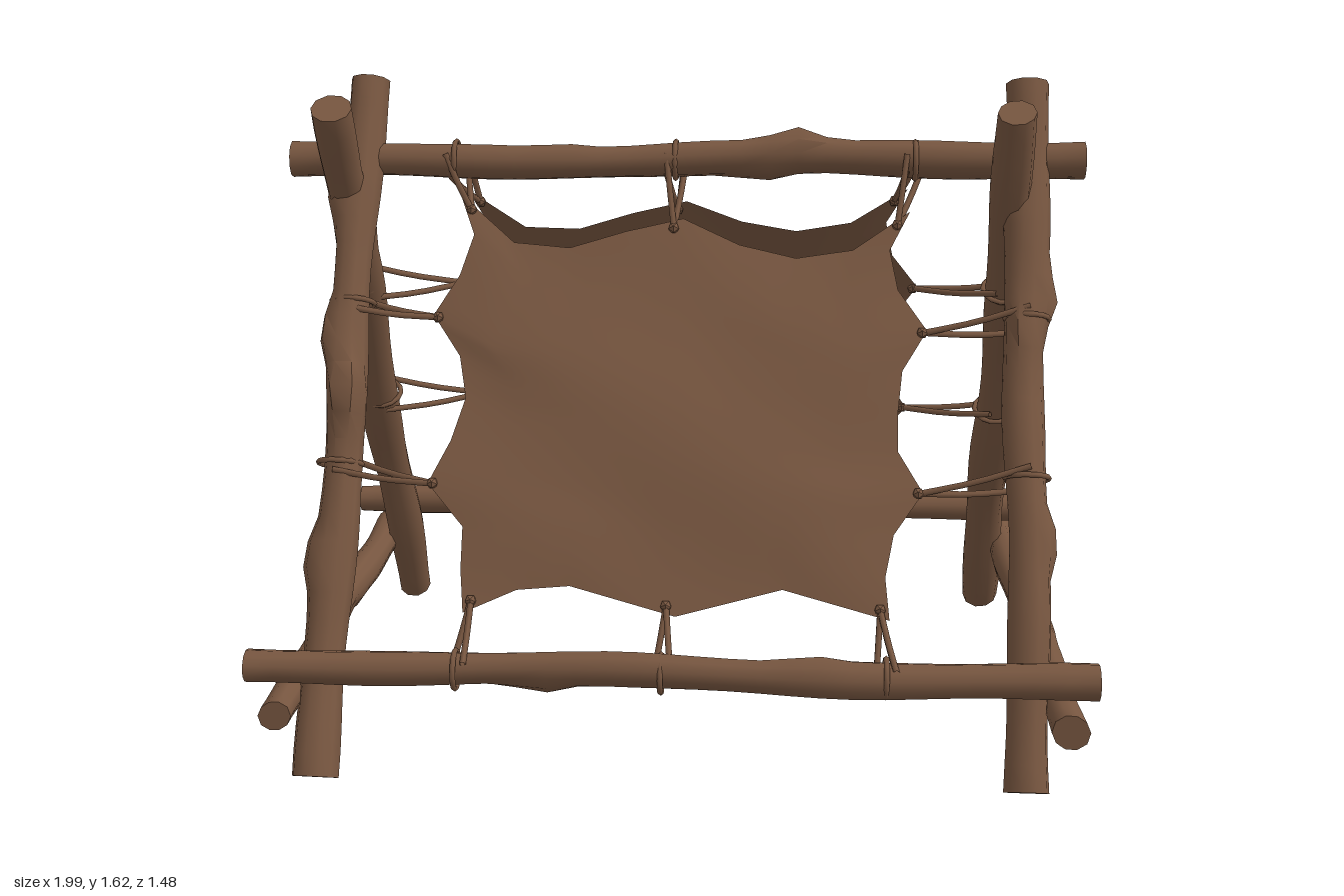
import * as THREE from 'three';
import { toCreasedNormals } from 'three/addons/utils/BufferGeometryUtils.js';

const brown = new THREE.MeshStandardMaterial({ color: 0x775640, side: THREE.DoubleSide });
brown.name = 'weathered brown';
const V = (x, y, z) => new THREE.Vector3(x, y, z);

function makeMesh(geometry, name, parent) {
  const mesh = new THREE.Mesh(geometry, brown);
  mesh.name = name;
  parent.add(mesh);
  return mesh;
}

// Crooked log from a to b; knots are [position along, angle, height]
function logGeometry(a, b, r0, r1, seed, knots = []) {
  const rings = 28, sides = 10, pos = [], index = [];
  const d = b.clone().sub(a), length = d.length();
  d.normalize();
  const ref = Math.abs(d.z) > 0.9 ? V(0, 1, 0) : V(0, 0, 1);
  const u = ref.cross(d).normalize(), v = d.clone().cross(u);
  for (let i = 0; i <= rings; i++) {
    const t = i / rings, bend = 0.009 * Math.sin(Math.PI * t);
    const c = a.clone().lerp(b, t)
      .addScaledVector(u, bend * Math.sin(t * 9 + seed))
      .addScaledVector(v, bend * Math.cos(t * 7 + seed * 2));
    for (let j = 0; j < sides; j++) {
      const ang = j / sides * Math.PI * 2;
      let r = (r0 + (r1 - r0) * t) * (1 + 0.06 * Math.sin(t * 23 + seed) + 0.05 * Math.sin(ang * 2 + t * 6 + seed));
      for (const [kt, ka, h] of knots) {
        const near = Math.max(0, 1 - Math.abs(t - kt) * length / 0.1);
        r += h * near * Math.max(0, Math.cos(ang - ka)) ** 3;
      }
      const p = c.clone().addScaledVector(u, r * Math.cos(ang)).addScaledVector(v, r * Math.sin(ang));
      pos.push(p.x, p.y, p.z);
      const k = i * sides + j, n = i * sides + (j + 1) % sides;
      if (i < rings) index.push(k, n, k + sides, n, n + sides, k + sides);
    }
  }
  // end caps
  const first = pos.length / 3, last = rings * sides;
  pos.push(a.x, a.y, a.z, b.x, b.y, b.z);
  for (let j = 0; j < sides; j++) {
    const n = (j + 1) % sides;
    index.push(first, n, j, first + 1, last + j, last + n);
  }
  const g = new THREE.BufferGeometry();
  g.setAttribute('position', new THREE.Float32BufferAttribute(pos, 3));
  g.setIndex(index);
  return toCreasedNormals(g, 0.95);
}

// Linear reading of evenly spaced samples
function sample(list, t) {
  const f = t * (list.length - 1), i = Math.min(Math.floor(f), list.length - 2);
  return list[i] + (list[i + 1] - list[i]) * (f - i);
}

// Scalloped outline of a stretched hide
const topEdge = [1.33, 1.22, 1.21, 1.25, 1.28, 1.22, 1.19, 1.21, 1.30];
const bottomEdge = [0.41, 0.46, 0.47, 0.44, 0.41, 0.44, 0.47, 0.44, 0.41];
const leftEdge = [-0.5, -0.51, -0.51, -0.6, -0.55, -0.52, -0.54, -0.61, -0.55, -0.52, -0.56];
const rightEdge = [0.51, 0.5, 0.52, 0.59, 0.53, 0.53, 0.54, 0.6, 0.53, 0.51, 0.56];

function hidePoint(u, v, side) {
  const x = THREE.MathUtils.lerp(sample(leftEdge, v), sample(rightEdge, v), u);
  const y = THREE.MathUtils.lerp(sample(bottomEdge, u), sample(topEdge, u), v);
  const swell = Math.sin(Math.PI * u) * Math.sin(Math.PI * v);
  const ripple = 0.01 * Math.sin(u * 9 + v * 4) * Math.sin(v * 7);
  if (side > 0) return V(x, y, 0.07 + (1.3 - y) * 0.55 + 0.03 * swell + ripple);
  // the back hide is a little longer on its left and billows more
  const skewed = y + 0.015 * v + 0.08 * (u - 0.5) * (v - 0.5);
  return V(x, skewed, -0.08 - (1.3 - skewed) * 0.53 - 0.075 * swell - ripple);
}

function hideGeometry(side) {
  const nu = 32, nv = 30, pos = [], index = [];
  for (let i = 0; i <= nv; i++) {
    for (let j = 0; j <= nu; j++) {
      const p = hidePoint(j / nu, i / nv, side);
      pos.push(p.x, p.y, p.z);
      if (i === nv || j === nu) continue;
      const a = i * (nu + 1) + j, b = a + 1, c = a + nu + 1, d = c + 1;
      if (side > 0) index.push(a, b, c, b, d, c);
      else index.push(a, c, b, b, c, d);
    }
  }
  const g = new THREE.BufferGeometry();
  g.setAttribute('position', new THREE.Float32BufferAttribute(pos, 3));
  g.setIndex(index);
  g.computeVertexNormals();
  return g;
}

// Two cords from a hide point to a log, with a loop around the log
function addTie(parent, from, centre, axis, radius) {
  const tie = new THREE.Group();
  tie.name = 'tie';
  const out = from.clone().sub(centre);
  out.addScaledVector(axis, -out.dot(axis)).normalize();
  const across = axis.clone().cross(out);
  for (const s of [-1, 1]) {
    const end = centre.clone().addScaledVector(axis, s * 0.022).addScaledVector(across, s * radius * 0.9);
    const mid = from.clone().lerp(end, 0.5).addScaledVector(V(0, -1, 0), 0.006);
    makeMesh(new THREE.TubeGeometry(new THREE.CatmullRomCurve3([from, mid, end]), 5, 0.008, 5), 'cord', tie);
  }
  const loop = makeMesh(new THREE.TorusGeometry(radius, 0.007, 5, 14), 'cordLoop', tie);
  loop.position.copy(centre);
  loop.quaternion.setFromUnitVectors(V(0, 0, 1), axis);
  makeMesh(new THREE.IcosahedronGeometry(0.015, 0), 'cordKnot', tie).position.copy(from);
  parent.add(tie);
}

export function createModel() {
  const group = new THREE.Group();
  group.name = 'hideRack';
  const PI = Math.PI;

  // crossed legs, front ones leaning back and back ones leaning forward
  const legs = {
    frontRight: [V(-0.84, 0.04, 0.69), V(-0.8, 1.6, -0.07)],
    frontLeft: [V(0.83, 0.04, 0.69), V(0.85, 1.6, -0.07)],
    backRight: [V(-0.85, 0.03, -0.69), V(-0.845, 1.56, 0.2)],
    backLeft: [V(0.84, 0.03, -0.69), V(0.8, 1.56, 0.2)],
  };
  const legKnots = {
    frontRight: [[0.3, 0.3, 0.03], [0.62, 0.3, 0.03], [0.53, 1.7, 0.05], [0.82, 0, 0.03]],
    frontLeft: [[0.34, PI, 0.03], [0.68, PI, 0.03], [0.64, 1.5, 0.025], [0.83, 0, 0.02]],
    backRight: [[0.6, 0.3, 0.03], [0.82, 3, 0.02]],
    backLeft: [[0.36, PI, 0.035], [0.64, 2.8, 0.03], [0.8, PI, 0.02]],
  };
  Object.entries(legs).forEach(([name, [a, b]], i) =>
    makeMesh(logGeometry(a, b, 0.051, 0.05, i * 1.7 + 1, legKnots[name]), name + 'Leg', group));

  // ridge pole and the two long base poles
  const ridge = [V(-0.99, 1.41, 0.01), V(0.99, 1.42, 0.005)];
  const frontPole = [V(-1, 0.305, 0.655), V(0.99, 0.305, 0.655)];
  const backPole = [V(-0.99, 0.31, -0.645), V(0.99, 0.31, -0.655)];
  makeMesh(logGeometry(...ridge, 0.041, 0.045, 2, [[0.64, 0, 0.035], [0.35, 0.2, 0.01], [0.6, PI, 0.02]]), 'ridgePole', group);
  makeMesh(logGeometry(...frontPole, 0.041, 0.041, 4, [[0.35, PI, 0.025], [0.67, 0, 0.015]]), 'frontPole', group);
  makeMesh(logGeometry(...backPole, 0.041, 0.041, 5.5, [[0.2, 4.7, 0.02], [0.7, PI, 0.02]]), 'backPole', group);

  // side base poles
  makeMesh(logGeometry(V(-0.92, 0.21, -0.73), V(-0.92, 0.21, 0.73), 0.042, 0.04, 1, [[0.4, 4.7, 0.02]]), 'rightBasePole', group);
  makeMesh(logGeometry(V(0.89, 0.22, -0.74), V(0.92, 0.215, 0.74), 0.042, 0.042, 3, [[0.6, 1.6, 0.02]]), 'leftBasePole', group);

  // stretched hides with their ties
  for (const side of [1, -1]) {
    const prefix = side > 0 ? 'front' : 'back';
    const panel = new THREE.Group();
    panel.name = prefix + 'Panel';
    group.add(panel);
    makeMesh(hideGeometry(side), prefix + 'Hide', panel);

    const xAxis = V(1, 0, 0);
    const base = side > 0 ? frontPole : backPole;
    for (const [u, shift] of [[0.02, -0.05], [0.48, 0], [0.98, 0.05]]) {
      const onPole = (pole, x) => pole[0].clone().lerp(pole[1], (x + 1) / 2);
      const high = hidePoint(u, 0.98, side), low = hidePoint(u, 0.02, side);
      addTie(panel, high, onPole(ridge, high.x + shift), xAxis, 0.046);
      addTie(panel, low, onPole(base, low.x + shift * 0.4), xAxis, 0.045);
    }
    for (const [u, name] of [[0.01, 'Right'], [0.99, 'Left']]) {
      const [a, b] = legs[prefix + name];
      const axis = b.clone().sub(a).normalize();
      for (const v of [0.3, 0.7]) {
        const p = hidePoint(u, v, side);
        const centre = a.clone().lerp(b, (p.y + 0.03 - a.y) / (b.y - a.y));
        addTie(panel, p, centre, axis, 0.053);
      }
    }
  }
  return group;
}
